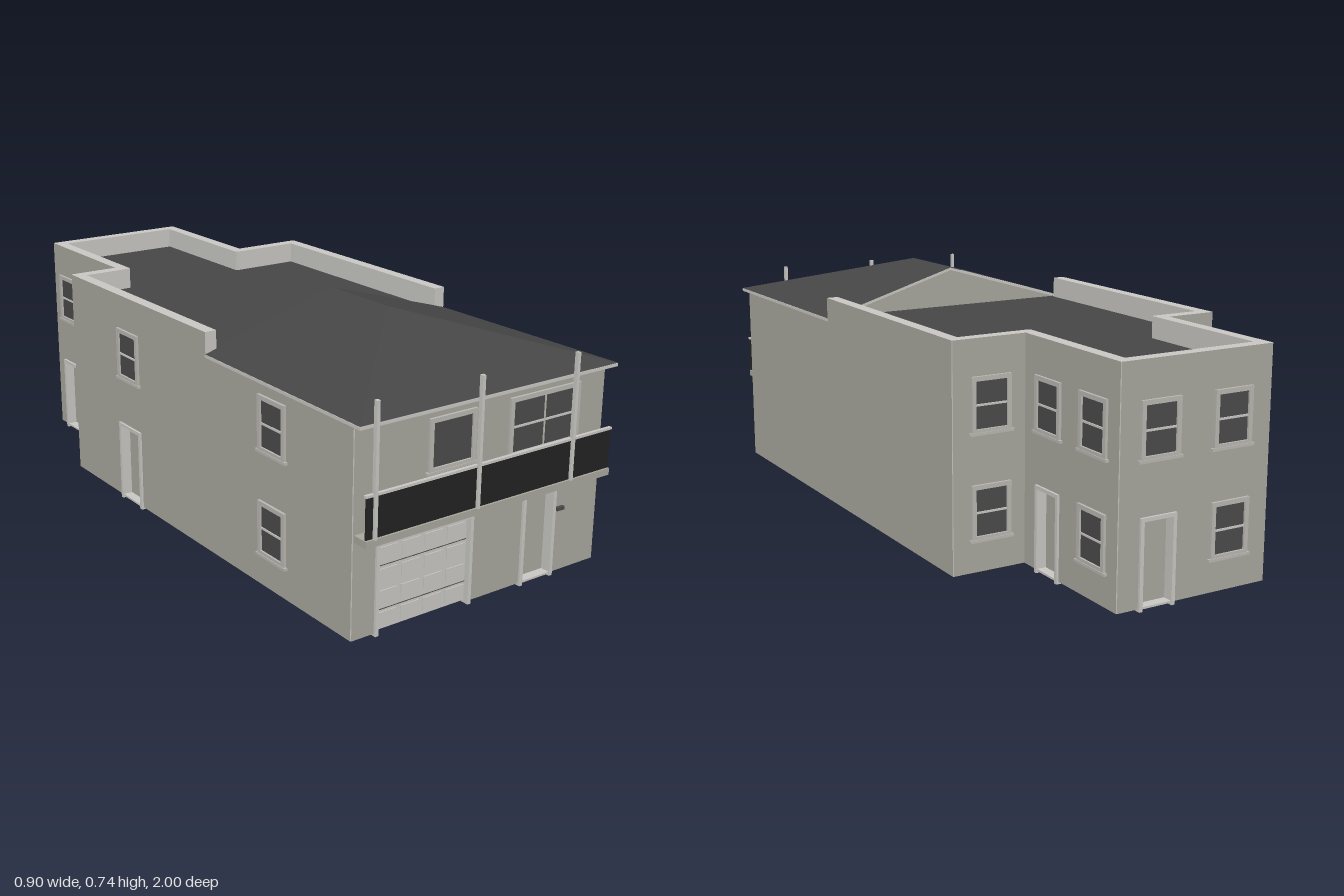
import * as THREE from 'three';

const mat = (name, color, side = THREE.FrontSide) => {
  const m = new THREE.MeshStandardMaterial({ color, side });
  m.name = name;
  return m;
};

export function createModel() {
  const house = new THREE.Group();
  house.name = 'house';
  const wallMat = mat('wall render', 0xa9a89e);
  const trim = mat('light trim', 0xc9c8c4);
  const frameMat = mat('window frame', 0xb9b8b2);
  const roofMat = mat('dark roofing', 0x464646, THREE.DoubleSide);
  const glass = mat('window glass', 0x4b4b4b);
  const black = mat('black railing', 0x222222);

  const T = 0.035, E = 0.002;           // wall thickness, small corner gap
  const BASE = 0.007, EAVE = 0.6, TOP = 0.67;

  const add = (parent, name, geo, material) => {
    const m = new THREE.Mesh(geo, material);
    m.name = name;
    parent.add(m);
    return m;
  };
  // Box given by its limits on each axis
  const box = (parent, name, material, x0, x1, y0, y1, z0, z1) => {
    const m = add(parent, name, new THREE.BoxGeometry(x1 - x0, y1 - y0, z1 - z0), material);
    m.position.set((x0 + x1) / 2, (y0 + y1) / 2, (z0 + z1) / 2);
    return m;
  };
  const polygon = pts => new THREE.Shape(pts.map(p => new THREE.Vector2(p[0], p[1])));
  const extrude = (shape, depth) => new THREE.ExtrudeGeometry(shape, { depth, bevelEnabled: false });
  const rect = (x0, x1, y0, y1) => [[x0, y0], [x1, y0], [x1, y1], [x0, y1]];

  // Sash window on a wall face: u is its centre along the wall
  function addWindow(wall, { u, w = 0.125, y0, y1, mullion = false, rail = true, sill = true }) {
    const g = new THREE.Group();
    g.name = 'window';
    wall.add(g);
    const x0 = u - w / 2, x1 = u + w / 2, b = 0.013;
    const ring = polygon(rect(x0, x1, y0, y1));
    ring.holes.push(polygon(rect(x0 + b, x1 - b, y0 + b, y1 - b)));
    add(g, 'windowFrame', extrude(ring, 0.008), frameMat);
    box(g, 'windowGlass', glass, x0 + b, x1 - b, y0 + b, y1 - b, 0, 0.002);
    const mid = (y0 + y1) / 2;
    if (rail) box(g, 'meetingRail', trim, x0 + b, x1 - b, mid - 0.003, mid + 0.003, 0, 0.005);
    if (mullion) box(g, 'mullion', frameMat, u - 0.002, u + 0.002, y0 + b, y1 - b, 0, 0.005);
    if (sill) box(g, 'windowSill', frameMat, x0 - 0.007, x1 + 0.007, y0 - 0.004, y0 + 0.004, 0, 0.01);
  }

  // Door set back in a notch of the wall, with a frame running through it
  function addDoor(wall, { u, w = 0.115, h = 0.255, garage = false }) {
    const g = new THREE.Group();
    g.name = garage ? 'garageDoor' : 'door';
    wall.add(g);
    const x0 = u - w / 2, x1 = u + w / 2, b = 0.011;
    const frame = polygon([[x0, 0], [x0 + b, 0], [x0 + b, h - b], [x1 - b, h - b], [x1 - b, 0], [x1, 0], [x1, h], [x0, h]]);
    const f = add(g, 'doorFrame', extrude(frame, T + 0.01), trim);
    f.position.z = -T - 0.003;
    const z = garage ? -0.01 : -0.025;
    box(g, 'doorLeaf', garage ? trim : wallMat, x0 + b, x1 - b, 0.008, h - b, z - 0.01, z);
    if (!garage) {
      box(g, 'threshold', trim, x0 + b, x1 - b, 0.006, 0.012, z, 0.004);
      return;
    }
    // Garage leaf: raised panels in four sections and dark joints
    const W = x1 - x0 - 2 * b, H = h - b - 0.008;
    for (let r = 0; r < 4; r++) for (let c = 0; c < 4; c++) {
      const px = x0 + b + (c + 0.5) * W / 4, py = 0.008 + (r + 0.5) * H / 4;
      box(g, 'raisedPanel', trim, px - W * 0.1, px + W * 0.1, py - H * 0.075, py + H * 0.075, z, z + 0.003);
    }
    for (const y of [0.065, 0.19])
      box(g, 'sectionJoint', glass, x0 + b, x1 - b, y - 0.001, y + 0.001, z, z + 0.001);
  }

  // Wall from u0 to u1, outer face at local z = 0; parapet spans p0 to p1
  function addWall(name, pos, angle, u0, u1, { parapet = null, doors = [], windows = [] }) {
    const wall = new THREE.Group();
    wall.name = name;
    wall.position.set(pos[0], 0, pos[1]);
    wall.rotation.y = angle;
    house.add(wall);
    u0 += E; u1 -= E;
    const pts = [[u0, BASE]];
    for (const { u, w = 0.115, h = 0.255 } of [...doors].sort((a, b) => a.u - b.u))
      pts.push([u - w / 2, BASE], [u - w / 2, h], [u + w / 2, h], [u + w / 2, BASE]);
    pts.push([u1, BASE]);
    if (parapet) {
      const p0 = Math.max(parapet[0], u0), p1 = Math.min(parapet[1], u1);
      if (p1 < u1) pts.push([u1, EAVE], [p1, EAVE]);
      pts.push([p1, TOP], [p0, TOP]);
      if (p0 > u0) pts.push([p0, EAVE], [u0, EAVE]);
      box(wall, 'parapetLining', trim, p0, p1, EAVE, TOP, -T - E, -T + E);
    } else pts.push([u1, EAVE], [u0, EAVE]);
    add(wall, 'wallPanel', extrude(polygon(pts), T), [wallMat, trim]).position.z = -T;
    doors.forEach(d => addDoor(wall, d));
    windows.forEach(w => addWindow(wall, w));
  }

  const up = u => ({ u, y0: 0.405, y1: 0.565 });
  const low = u => ({ u, y0: 0.1, y1: 0.26 });
  const all = [-9, 9], H = Math.PI / 2;

  // Main block
  addWall('frontWall', [0, 0.95], 0, -0.44, 0.44, {
    doors: [{ u: -0.2, w: 0.33, h: 0.265, garage: true }, { u: 0.21, w: 0.126, h: 0.27 }],
    windows: [{ u: -0.12, w: 0.16, y0: 0.415, y1: 0.565, rail: false },
      { u: 0.21, w: 0.26, y0: 0.395, y1: 0.565, mullion: true }],
  });
  addWall('leftWall', [0.44, 0], H, -0.95, 0.54, { parapet: [-0.27, 9] });
  addWall('rightWall', [-0.44, 0], -H, -0.54, 0.95, {
    parapet: [-9, 0.27], doors: [{ u: -0.175, w: 0.13 }], windows: [up(-0.175), up(0.6), low(0.6)],
  });
  addWall('leftStepWall', [0, -0.54], 2 * H, -0.44, -0.21 + T, { parapet: all, windows: [up(-0.32), low(-0.32)] });
  addWall('rightStepWall', [0, -0.54], 2 * H, 0.28 - T, 0.44, { parapet: all });
  // Rear wing
  addWall('wingLeftWall', [0.21, 0], H, 0.54 - T, 0.99, {
    parapet: all, doors: [{ u: 0.66 }], windows: [up(0.66), up(0.875), low(0.875)],
  });
  addWall('wingRightWall', [-0.28, 0], -H, -0.99, -0.54 + T, {
    parapet: all, doors: [{ u: -0.88 }], windows: [up(-0.88), up(-0.665), low(-0.665)],
  });
  addWall('backWall', [0, -0.99], 2 * H, -0.21, 0.28, {
    parapet: all, doors: [{ u: -0.085 }], windows: [up(-0.085), up(0.15), low(0.15)],
  });

  // Flat roof, tucked into the walls
  const flat = extrude(polygon([[-0.42, -0.93], [0.42, -0.93], [0.42, 0.52], [0.19, 0.52],
    [0.19, 0.97], [-0.26, 0.97], [-0.26, 0.52], [-0.42, 0.52]]), 0.015);
  add(house, 'flatRoof', flat.rotateX(-H), roofMat).position.y = 0.59;

  // Hipped front roof with an open gable at the back
  const FL = [-0.45, 0.605, 0.985], FR = [0.45, 0.605, 0.985], BL = [-0.44, 0.605, 0.265], BR = [0.44, 0.605, 0.265];
  const R1 = [0, 0.735, 0.53], R2 = [0, 0.735, 0.265];
  const hip = new THREE.BufferGeometry();
  hip.setAttribute('position', new THREE.Float32BufferAttribute(
    [FL, FR, R1, FR, BR, R2, FR, R2, R1, BL, FL, R1, BL, R1, R2].flat(), 3));
  hip.computeVertexNormals();
  add(house, 'hippedRoof', hip, roofMat);
  add(house, 'eavesFascia', extrude(polygon([[-0.45, -0.985], [0.45, -0.985], [0.44, -0.265], [-0.44, -0.265]]), 0.009)
    .rotateX(-H), trim).position.y = 0.595;
  add(house, 'rearGable', extrude(polygon([[-0.43, 0.603], [0.43, 0.603], [0, 0.729]]), 0.005), wallMat).position.z = 0.285;
  for (const s of [-1, 1]) {
    const rake = add(house, 'gableTrim', new THREE.BoxGeometry(0.455, 0.008, 0.012), trim);
    rake.position.set(s * 0.22, 0.665, 0.273);
    rake.rotation.z = -s * Math.atan2(0.13, 0.44);
  }

  // Balcony
  const balcony = new THREE.Group();
  balcony.name = 'balcony';
  house.add(balcony);
  box(balcony, 'balconySlab', wallMat, -0.435, 0.43, 0.283, 0.303, 0.949, 0.999);
  box(balcony, 'railPanel', black, -0.432, 0.43, 0.303, 0.417, 0.989, 0.993);
  box(balcony, 'handrail', trim, -0.435, 0.432, 0.417, 0.424, 0.986, 0.996);
  for (const x of [-0.405, -0.062, 0.28])
    box(balcony, 'balconyPost', trim, x - 0.005, x + 0.005, 0.3, 0.668, 0.988, 1);

  // Letter box by the front door
  box(house, 'letterBox', glass, 0.276, 0.304, 0.195, 0.205, 0.95, 0.96);
  return house;
}
